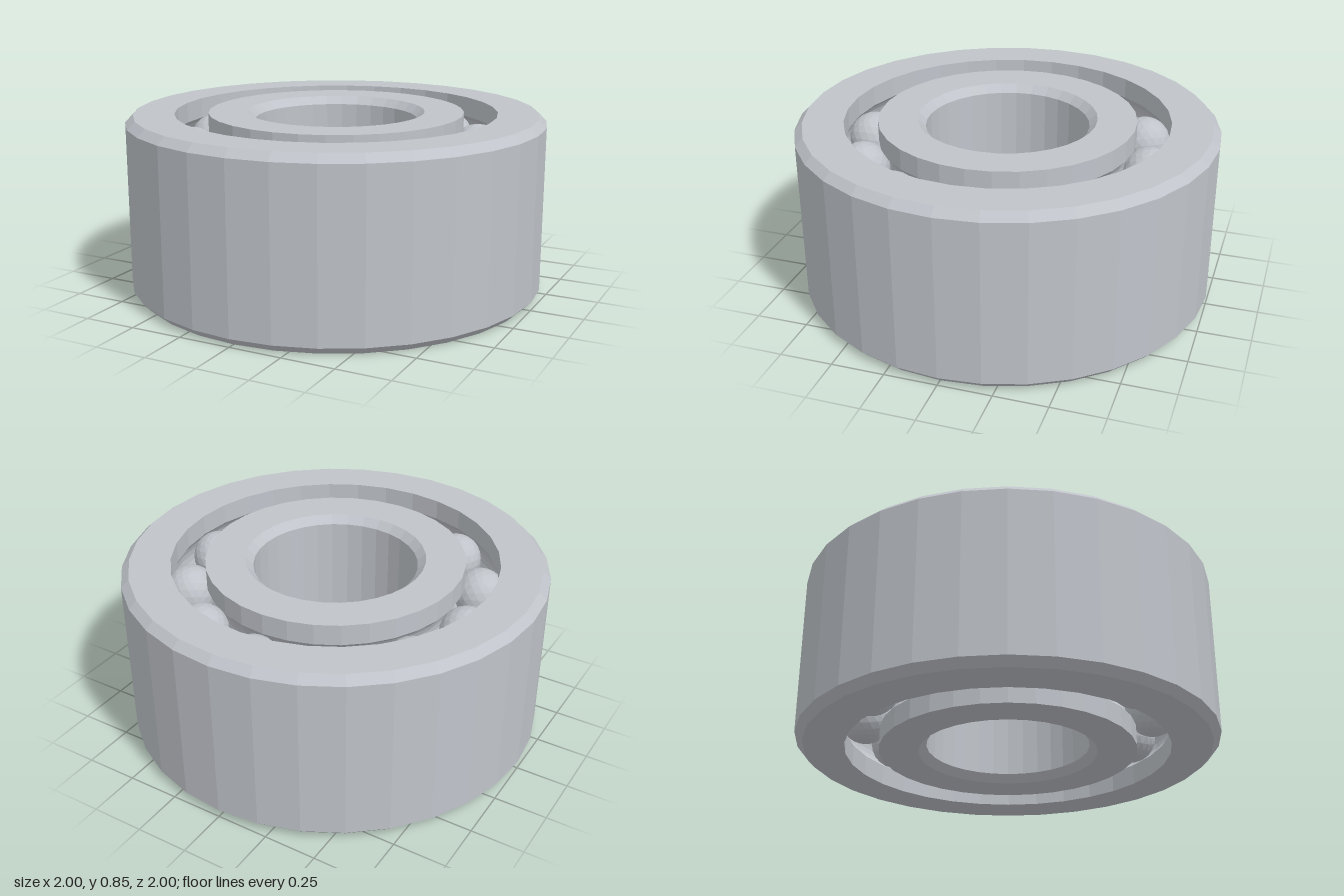
import * as THREE from 'three';

const HEIGHT = 0.853;
const CHAMFER = 0.037;
const SEGMENTS = 32;
const PITCH = 0.69;           // radius of the circle of ball centres
const HALF_GAP = 0.08;        // half the gap between the two rings
const BALL = 0.125;
const BALLS_PER_ROW = 12;
const ROWS = [0.2, HEIGHT - 0.2];

// Arc of a ball groove; side +1 cuts into the outer ring, -1 into the inner ring
function groove(y, side) {
  const r = BALL + 0.004;
  const half = Math.acos(HALF_GAP / r);
  const points = [];
  for (let i = 0; i <= 8; i++) {
    const t = side * half * (1 - i / 4);
    points.push([PITCH + side * r * Math.cos(t), y + r * Math.sin(t)]);
  }
  return points;
}

// Revolves a closed cross-section, listed counterclockwise as [radius, height]
function ring(name, profile, material) {
  const points = [...profile, profile[0]].map(([r, y]) => new THREE.Vector2(r, y));
  const mesh = new THREE.Mesh(new THREE.LatheGeometry(points, SEGMENTS), material);
  mesh.name = name;
  return mesh;
}

export function createModel() {
  const model = new THREE.Group();
  model.name = 'ballBearing';
  const steel = new THREE.MeshStandardMaterial({ color: 0xc0c4ca, flatShading: true });
  steel.name = 'steel';

  // Outer ring: chamfered outside, two ball grooves inside
  const outerBore = PITCH + HALF_GAP;
  model.add(ring('outerRing', [
    [outerBore, 0],
    [1 - CHAMFER, 0],
    [1, CHAMFER],
    [1, HEIGHT - CHAMFER],
    [1 - CHAMFER, HEIGHT],
    [outerBore, HEIGHT],
    ...groove(ROWS[1], 1),
    ...groove(ROWS[0], 1),
  ], steel));

  // Inner ring: two ball grooves outside, chamfered bore
  const innerFace = PITCH - HALF_GAP;
  const bore = 0.387;
  model.add(ring('innerRing', [
    [bore + CHAMFER, 0],
    [innerFace, 0],
    ...groove(ROWS[0], -1),
    ...groove(ROWS[1], -1),
    [innerFace, HEIGHT],
    [bore + CHAMFER, HEIGHT],
    [bore, HEIGHT - CHAMFER],
    [bore, CHAMFER],
  ], steel));

  // Two rows of balls
  const ballGeometry = new THREE.IcosahedronGeometry(BALL, 3);
  ROWS.forEach((y, row) => {
    const balls = new THREE.Group();
    balls.name = row === 0 ? 'lowerBallRow' : 'upperBallRow';
    for (let i = 0; i < BALLS_PER_ROW; i++) {
      const a = (i / BALLS_PER_ROW) * Math.PI * 2;
      const ball = new THREE.Mesh(ballGeometry, steel);
      ball.name = 'ball';
      ball.position.set(PITCH * Math.sin(a), y, PITCH * Math.cos(a));
      ball.rotation.y = a;
      balls.add(ball);
    }
    model.add(balls);
  });

  return model;
}
